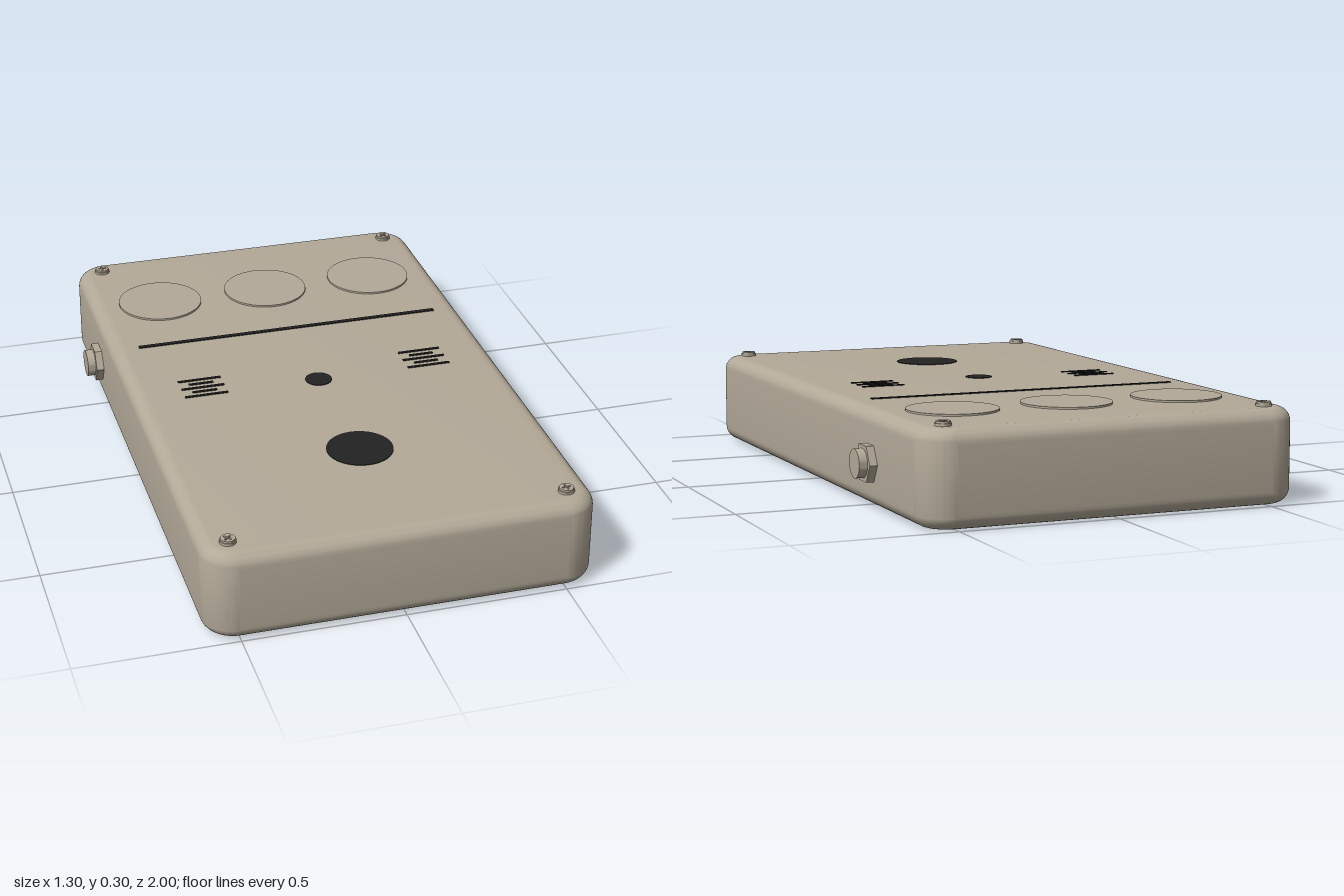
import * as THREE from 'three';
import { toCreasedNormals } from 'three/addons/utils/BufferGeometryUtils.js';

export function createModel() {
  const model = new THREE.Group();
  const TOP = 0.29;
  const casing = new THREE.MeshStandardMaterial({ name: 'casing beige', color: 0xb3a998 });
  const dark = new THREE.MeshStandardMaterial({ name: 'dark marking', color: 0x222222 });

  function add(name, geometry, material, x, y, z, parent = model) {
    const mesh = new THREE.Mesh(geometry, material);
    mesh.name = name;
    mesh.position.set(x, y, z);
    parent.add(mesh);
    return mesh;
  }
  const disc = (r, h, sides = 48) => toCreasedNormals(new THREE.CylinderGeometry(r, r, h, sides), 0.6);

  // Enclosure: rounded rectangle with rounded top and bottom edges
  const edge = 0.045, corner = 0.055;
  const cx = 0.6 - edge - corner, cz = 1 - edge - corner;
  const outline = new THREE.Shape();
  outline.absarc(cx, cz, corner, 0, Math.PI / 2);
  outline.absarc(-cx, cz, corner, Math.PI / 2, Math.PI);
  outline.absarc(-cx, -cz, corner, Math.PI, Math.PI * 1.5);
  outline.absarc(cx, -cz, corner, Math.PI * 1.5, Math.PI * 2);
  const body = new THREE.ExtrudeGeometry(outline, {
    depth: TOP - 2 * edge, bevelThickness: edge, bevelSize: edge, bevelSegments: 8, curveSegments: 10,
  });
  body.rotateX(-Math.PI / 2);
  add('enclosure', toCreasedNormals(body, 0.6), casing, 0, edge, 0);

  // Three raised control pads near the back
  for (const x of [-0.37, 0, 0.37]) add('controlPad', disc(0.14, 0.006, 64), casing, x, TOP + 0.003, -0.63);

  // Dividing line, indicator and foot switch spots
  add('dividingLine', new THREE.BoxGeometry(1.02, 0.003, 0.015), dark, 0, TOP + 0.0015, -0.32);
  add('indicatorSpot', disc(0.043, 0.002), dark, 0, TOP + 0.001, 0.05);
  add('footSwitchSpot', disc(0.103, 0.002), dark, 0, TOP + 0.001, 0.51);

  // Alternating long and short bars on both sides
  for (const side of [-1, 1]) {
    for (let i = 0; i < 5; i++) {
      const width = i % 2 ? 0.08 : 0.14;
      add('markingBar', new THREE.BoxGeometry(width, 0.003, 0.009), dark,
        side * 0.37, TOP + 0.0015, -0.05 + i * 0.026);
    }
  }

  // Screws with a cross recess, one in each corner
  const a = 0.003, b = 0.014;
  const cross = [[a, a], [b, a], [b, -a], [a, -a], [a, -b], [-a, -b],
    [-a, -a], [-b, -a], [-b, a], [-a, a], [-a, b], [a, b]];
  const headShape = new THREE.Shape().absarc(0, 0, 0.022, 0, Math.PI * 2);
  headShape.holes.push(new THREE.Path(cross.map(([x, y]) => new THREE.Vector2(x, y))));
  const headGeometry = new THREE.ExtrudeGeometry(headShape, { depth: 0.006, bevelEnabled: false, curveSegments: 16 });
  headGeometry.rotateX(-Math.PI / 2);
  const rimGeometry = toCreasedNormals(new THREE.CylinderGeometry(0.025, 0.025, 0.008, 32), 0.6);
  [[-1, -1, 0], [1, -1, 0.6], [-1, 1, 0.75], [1, 1, 0.1]].forEach(([sx, sz, turn]) => {
    const screw = new THREE.Group();
    screw.name = 'screw';
    screw.position.set(sx * 0.515, TOP, sz * 0.915);
    screw.rotation.y = turn;
    add('screwRim', rimGeometry, casing, 0, 0.004, 0, screw);
    add('screwHead', toCreasedNormals(headGeometry, 0.6), casing, 0, 0.008, 0, screw);
    model.add(screw);
  });

  // Side jacks: hexagonal nut and round plug socket
  for (const side of [-1, 1]) {
    const jack = new THREE.Group();
    jack.name = side > 0 ? 'leftJack' : 'rightJack';
    jack.position.set(side * 0.6, 0.135, -0.55);
    jack.rotation.z = -side * Math.PI / 2;
    add('jackNut', disc(0.0625, 0.024, 6), casing, 0, 0.012, 0, jack);
    add('jackSocket', disc(0.044, 0.05, 40), casing, 0, 0.025, 0, jack);
    model.add(jack);
  }
  return model;
}
